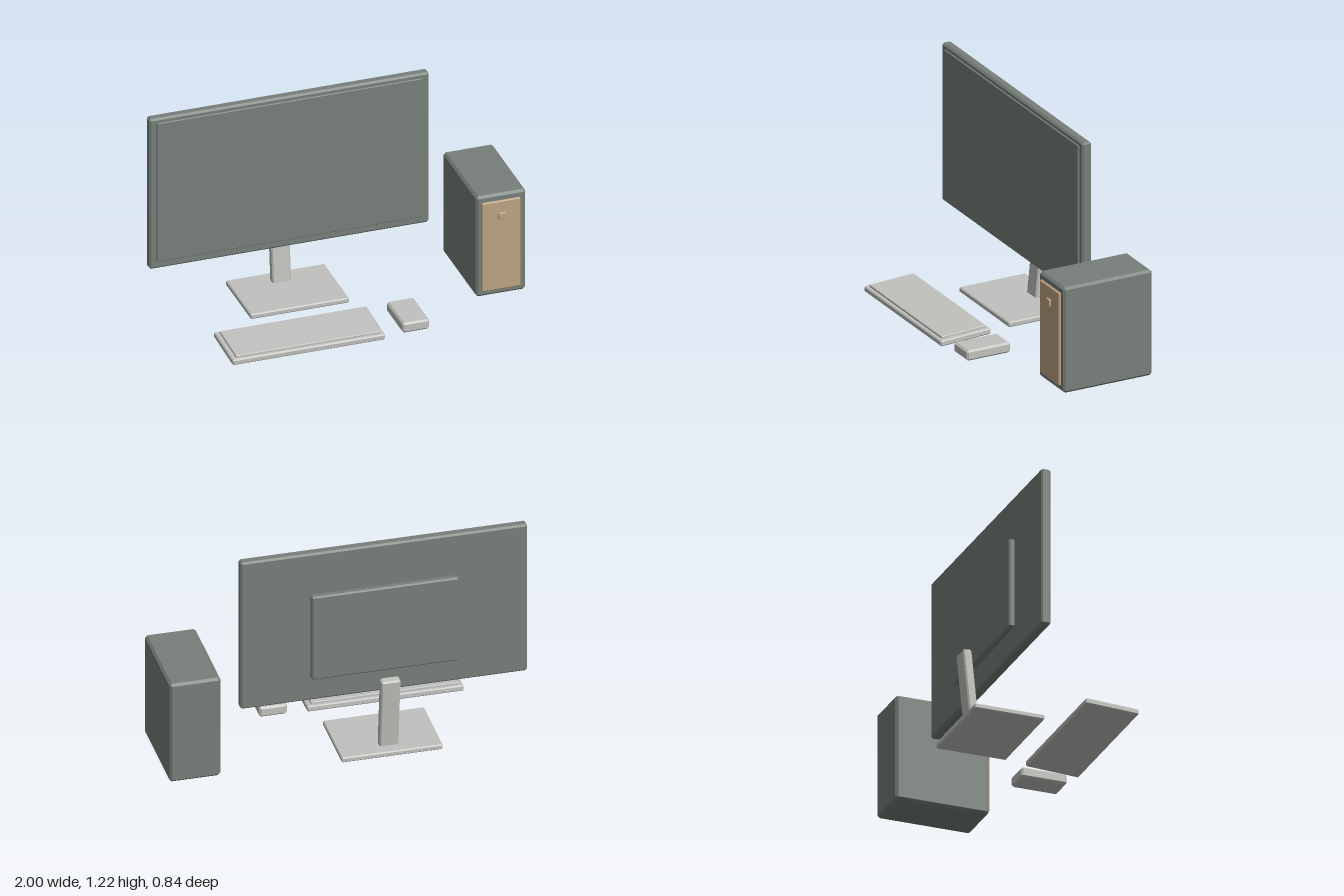
import * as THREE from 'three';
import { ConvexGeometry } from 'three/addons/geometries/ConvexGeometry.js';

const mat = (name, color) => {
  const m = new THREE.MeshStandardMaterial({ color });
  m.name = name;
  return m;
};

// Box with a flat chamfer on every edge, centred on the origin
function chamferBox(w, h, d, c) {
  const half = [w / 2, h / 2, d / 2], pts = [];
  for (const sx of [-1, 1]) for (const sy of [-1, 1]) for (const sz of [-1, 1]) {
    for (let full = 0; full < 3; full++) {
      const p = [sx, sy, sz].map((s, i) => s * (half[i] - (i === full ? 0 : c)));
      pts.push(new THREE.Vector3(...p));
    }
  }
  return new ConvexGeometry(pts);
}

export function createModel() {
  const casing = mat('greenGrey', 0x78807a);
  const light = mat('lightGrey', 0xc1c2be);
  const tan = mat('tan', 0xbea482);

  const model = new THREE.Group();
  model.name = 'desktopComputer';
  const group = (name) => {
    const g = new THREE.Group();
    g.name = name;
    model.add(g);
    return g;
  };

  // Adds a chamfered box given its [min, max] range on each axis
  function block(parent, name, material, [x0, x1], [y0, y1], [z0, z1], c) {
    const mesh = new THREE.Mesh(chamferBox(x1 - x0, y1 - y0, z1 - z0, c), material);
    mesh.position.set((x0 + x1) / 2, (y0 + y1) / 2, (z0 + z1) / 2);
    mesh.name = name;
    parent.add(mesh);
    return mesh;
  }

  // Monitor with a raised screen and a rear housing
  const monitor = group('monitor');
  block(monitor, 'monitorFrame', casing, [-1, 0.575], [0.315, 1.225], [-0.245, -0.19], 0.01);
  block(monitor, 'screen', casing, [-0.96, 0.54], [0.36, 1.2], [-0.2, -0.181], 0.003);
  block(monitor, 'rearHousing', casing, [-0.617, 0.192], [0.457, 0.972], [-0.277, -0.235], 0.008);

  // Stand: flat foot and a neck leaning backwards
  const stand = group('stand');
  block(stand, 'standFoot', light, [-0.49, 0.065], [0.008, 0.038], [-0.42, 0.02 - 0.04], 0.006);
  const neck = block(stand, 'standNeck', light, [-0.265, -0.16], [0.02, 0.46], [-0.375, -0.325], 0.008);
  neck.rotation.x = -0.1;

  // Keyboard, tilted up towards the back
  const keyboard = group('keyboard');
  keyboard.position.set(-0.315, 0.027, 0.265);
  keyboard.rotation.x = 0.05;
  block(keyboard, 'keyboardBody', light, [-0.43, 0.43], [-0.0165, 0.0165], [-0.152, 0.152], 0.006);
  block(keyboard, 'keyField', light, [-0.405, 0.405], [0.01, 0.029], [-0.132, 0.132], 0.003);

  // Mouse
  block(group('mouse'), 'mouseBody', light, [0.22, 0.372], [0.01, 0.069], [0.134, 0.396], 0.01);

  // Tower with a front panel and power button
  const tower = group('tower');
  block(tower, 'towerCase', casing, [0.72, 1], [0.008, 0.616], [-0.384, 0.152], 0.013);
  block(tower, 'frontPanel', tan, [0.75, 0.966], [0.044, 0.578], [0.14, 0.165], 0.004);
  block(tower, 'powerButton', tan, [0.838, 0.88], [0.47, 0.51], [0.155, 0.177], 0.003);

  return model;
}
